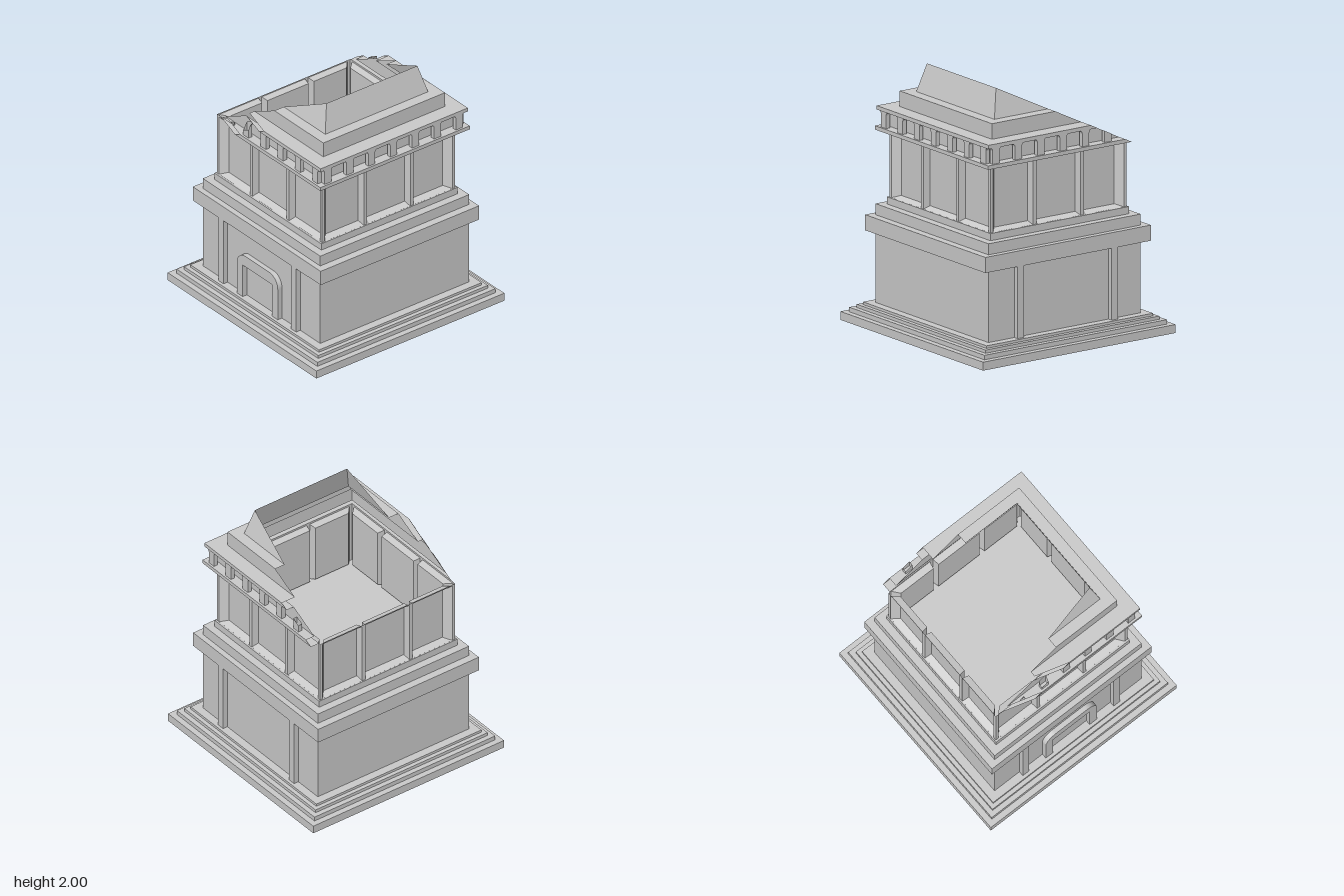
import * as THREE from 'three';

const solid = new THREE.MeshStandardMaterial({ color: 0xcccccc, flatShading: true });
const sheet = new THREE.MeshStandardMaterial({ color: 0xcccccc, flatShading: true, side: THREE.DoubleSide });

// The slanting break across the top; the front gallery breaks off further along.
const mainCut = p => 1.785 + 0.5 * p.x - p.y;
const frontCut = p => mainCut(p) - 1.75 * (p.z - 0.62);

// Keep only the part of a geometry where every cut function is positive.
function clip(geometry, cuts) {
  const flat = geometry.index ? geometry.toNonIndexed() : geometry;
  const pos = flat.attributes.position;
  const out = [];
  for (let i = 0; i < pos.count; i += 3) {
    let poly = [0, 1, 2].map(k => new THREE.Vector3().fromBufferAttribute(pos, i + k));
    for (const cut of cuts) {
      const next = [];
      poly.forEach((a, k) => {
        const b = poly[(k + 1) % poly.length];
        const da = cut(a), db = cut(b);
        if (da >= 0) next.push(a);
        if ((da >= 0) !== (db >= 0)) next.push(a.clone().lerp(b, da / (da - db)));
      });
      poly = next;
    }
    for (let k = 1; k + 1 < poly.length; k++) {
      for (const v of [poly[0], poly[k], poly[k + 1]]) out.push(v.x, v.y, v.z);
    }
  }
  const result = new THREE.BufferGeometry();
  result.setAttribute('position', new THREE.Float32BufferAttribute(out, 3));
  result.computeVertexNormals();
  return result;
}

// A recessed bay with splayed edges, open at the outer wall plane.
function bayGeometry(x0, x1, inset0, inset1) {
  const outer = [[x0, 0.96], [x1, 0.96], [x1, 1.46], [x0, 1.46]].map(p => [...p, 0.63]);
  const a = x0 + inset0, b = x1 - inset1;
  const inner = [[a, 0.98], [b, 0.98], [b, 1.45], [a, 1.45]].map(p => [...p, 0.575]);
  const out = [];
  const quad = (p, q, r, s) => out.push(...p, ...q, ...r, ...p, ...r, ...s);
  for (let i = 0; i < 4; i++) {
    const j = (i + 1) % 4;
    quad(outer[i], outer[j], inner[j], inner[i]);
  }
  quad(...inner);
  const g = new THREE.BufferGeometry();
  g.setAttribute('position', new THREE.Float32BufferAttribute(out, 3));
  return g;
}

function rectPath(Type, x0, x1, y0, y1) {
  return new Type([[x0, y0], [x1, y0], [x1, y1], [x0, y1]].map(p => new THREE.Vector2(...p)));
}

// Gallery post that flares into rounded window heads at the top.
function postGeometry(x) {
  const s = new THREE.Shape();
  s.moveTo(-0.032, 1.505);
  s.lineTo(0.032, 1.505);
  s.lineTo(0.032, 1.605);
  s.quadraticCurveTo(0.034, 1.628, 0.055, 1.63);
  s.lineTo(-0.055, 1.63);
  s.quadraticCurveTo(-0.034, 1.628, -0.032, 1.605);
  const g = new THREE.ExtrudeGeometry(s, { depth: 0.035, bevelEnabled: false, curveSegments: 4 });
  return g.translate(x, 0, 0.655);
}

export function createModel() {
  const model = new THREE.Group();
  const add = (name, geometry, material = solid) => {
    if (!geometry.attributes.position.count) return;
    const mesh = new THREE.Mesh(geometry, material);
    mesh.name = name;
    model.add(mesh);
  };
  const block = (name, halfX, halfZ, y0, y1) =>
    add(name, new THREE.BoxGeometry(2 * halfX, y1 - y0, 2 * halfZ).translate(0, (y0 + y1) / 2, 0));

  // Stepped base, lower storey, cornice and upper steps
  block('baseSlab', 0.89, 0.89, 0, 0.065);
  block('baseStep', 0.843, 0.843, 0.065, 0.1);
  block('baseStep', 0.803, 0.803, 0.1, 0.125);
  block('baseStep', 0.77, 0.77, 0.125, 0.145);
  block('lowerStorey', 0.703, 0.705, 0.145, 0.7);
  block('cornice', 0.765, 0.75, 0.7, 0.82);
  block('upperStep', 0.703, 0.705, 0.82, 0.905);
  block('upperStep', 0.64, 0.645, 0.905, 0.96);

  // Pilasters on front and back
  for (const x of [-0.435, 0.435]) {
    for (const z of [-0.72, 0.72]) {
      add('pilaster', new THREE.BoxGeometry(0.06, 0.555, 0.05).translate(x, 0.4225, z));
    }
  }

  // Door surround with rounded shoulders
  const door = new THREE.Shape();
  door.moveTo(0.175, 0.145);
  door.lineTo(0.245, 0.145);
  door.lineTo(0.245, 0.41);
  door.absarc(0.145, 0.41, 0.1, 0, Math.PI / 2);
  door.absarc(-0.145, 0.41, 0.1, Math.PI / 2, Math.PI);
  door.lineTo(-0.245, 0.145);
  door.lineTo(-0.175, 0.145);
  door.lineTo(-0.175, 0.42);
  door.lineTo(0.175, 0.42);
  add('doorSurround', new THREE.ExtrudeGeometry(door, { depth: 0.04, bevelEnabled: false, curveSegments: 8 })
    .translate(0, 0, 0.705));

  // Four upper walls with three recessed bays each, and the gallery posts
  const bays = [[-0.605, -0.235, 0.05, 0.01], [-0.205, 0.205, 0.01, 0.01], [0.235, 0.605, 0.01, 0.05]];
  for (let side = 0; side < 4; side++) {
    const turn = side * Math.PI / 2;
    const frame = rectPath(THREE.Shape, -0.63, 0.63, 0.96, 1.475);
    for (const [x0, x1] of bays) frame.holes.push(rectPath(THREE.Path, x0, x1, 0.9605, 1.46));
    const frameGeometry = new THREE.ShapeGeometry(frame).translate(0, 0, 0.63).rotateY(turn);
    add('wallFrame', clip(frameGeometry, [mainCut]), sheet);
    for (const bay of bays) {
      add('wallBay', clip(bayGeometry(...bay).rotateY(turn), [mainCut]), sheet);
    }
    for (let i = -3; i <= 3; i++) {
      add('galleryPost', clip(postGeometry(i * 0.207).rotateY(turn), [mainCut, frontCut]), sheet);
    }
  }

  // Ledge, gallery wall, eaves, roof tier and spire as one square shell
  const shell = (name, profile, cuts) => {
    const points = profile.map(([half, y]) => new THREE.Vector2(half * Math.SQRT2, y));
    add(name, clip(new THREE.LatheGeometry(points, 4, Math.PI / 4), cuts), sheet);
  };
  shell('gallery', [[0.63, 1.475], [0.707, 1.475], [0.707, 1.505], [0.63, 1.505],
    [0.63, 1.63], [0.697, 1.63], [0.697, 1.66], [0.62, 1.66]], [mainCut, frontCut]);
  shell('roofTier', [[0.62, 1.66], [0.575, 1.66], [0.575, 1.78], [0.487, 1.78]], [mainCut]);
  shell('spire', [[0.487, 1.78], [0.43, 2]], [mainCut]);

  return model;
}
